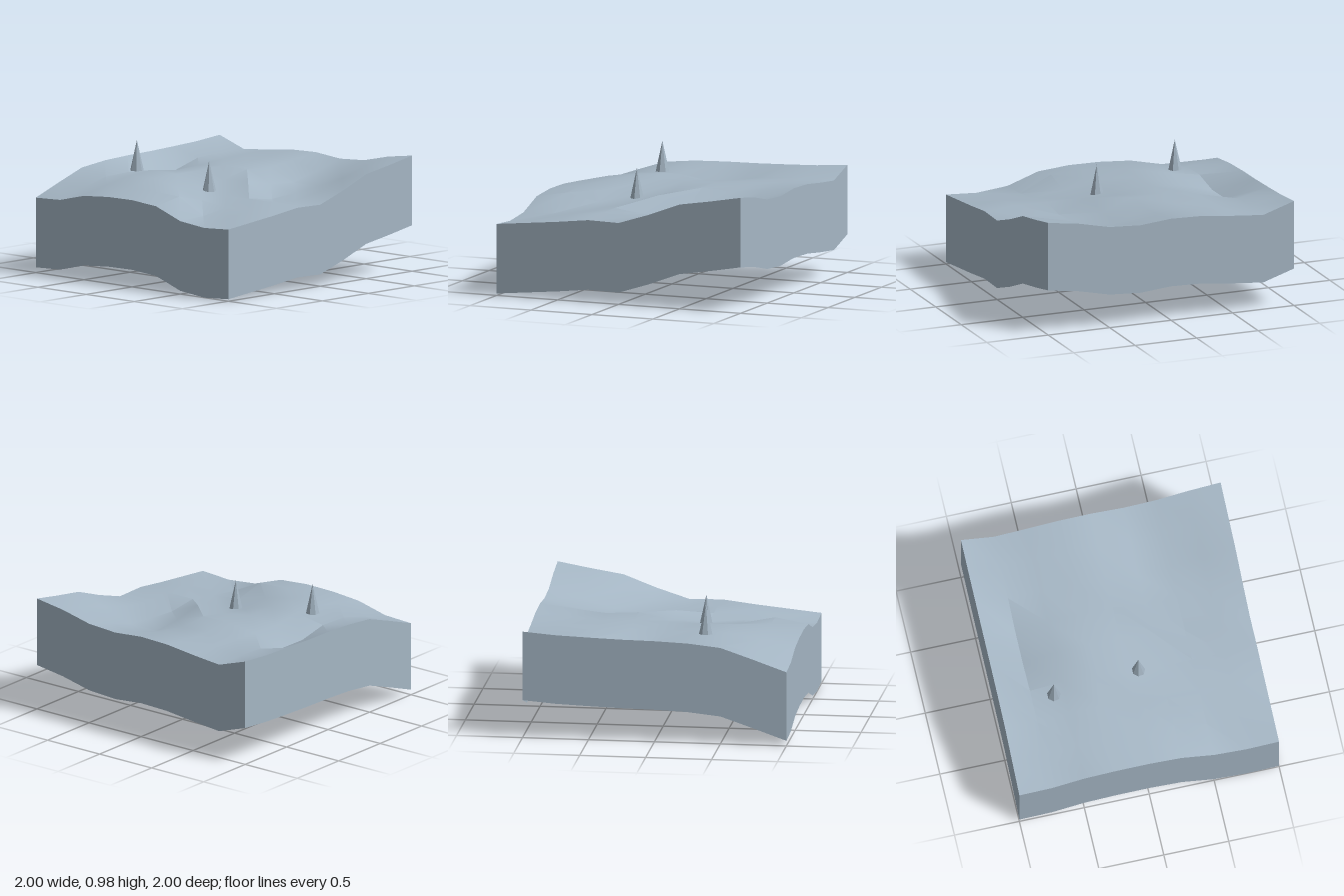
import * as THREE from 'three';
import { toCreasedNormals } from 'three/addons/utils/BufferGeometryUtils.js';

const N = 8;          // grid cells per side
const DEPTH = 0.53;   // drop of the side walls

// Ground heights, one row per z from back (-1) to front (+1), x from -1 to +1
const HEIGHTS = [
  [0.57, 0.658, 0.742, 0.768, 0.778, 0.782, 0.79, 0.80, 0.82],
  [0.58, 0.64, 0.70, 0.708, 0.658, 0.662, 0.73, 0.742, 0.74],
  [0.638, 0.695, 0.735, 0.75, 0.72, 0.728, 0.745, 0.757, 0.762],
  [0.657, 0.70, 0.742, 0.745, 0.745, 0.755, 0.748, 0.765, 0.79],
  [0.66, 0.697, 0.69, 0.67, 0.705, 0.752, 0.738, 0.765, 0.797],
  [0.64, 0.685, 0.63, 0.635, 0.715, 0.668, 0.65, 0.708, 0.775],
  [0.555, 0.565, 0.60, 0.64, 0.61, 0.625, 0.65, 0.725, 0.79],
  [0.53, 0.565, 0.615, 0.64, 0.625, 0.665, 0.735, 0.80, 0.845],
  [0.545, 0.57, 0.595, 0.625, 0.62, 0.70, 0.795, 0.835, 0.88],
];

const heightAt = (x, z) =>
  HEIGHTS[Math.round((z + 1) * N / 2)][Math.round((x + 1) * N / 2)];

// Rolling ground surface
function groundGeometry() {
  const geo = new THREE.PlaneGeometry(2, 2, N, N).rotateX(-Math.PI / 2);
  const pos = geo.attributes.position;
  for (let i = 0; i < pos.count; i++) {
    pos.setY(i, heightAt(pos.getX(i), pos.getZ(i)));
  }
  return toCreasedNormals(geo, 0.42);
}

// Wall hanging from one ground edge; place(t) maps t in -1..1 to [x, z]
function wallGeometry(place) {
  const geo = new THREE.PlaneGeometry(2, 1, N, 1);
  const pos = geo.attributes.position;
  for (let i = 0; i < pos.count; i++) {
    const [x, z] = place(pos.getX(i));
    const drop = pos.getY(i) > 0 ? 0 : DEPTH;
    pos.setXYZ(i, x, heightAt(x, z) - drop, z);
  }
  geo.computeVertexNormals();
  return geo;
}

export function createModel() {
  const group = new THREE.Group();
  group.name = 'terrainTile';
  const stone = new THREE.MeshStandardMaterial({ color: 0xa5b6c4, side: THREE.DoubleSide });
  stone.name = 'blueGreyStone';

  const add = (name, geo) => {
    const mesh = new THREE.Mesh(geo, stone);
    mesh.name = name;
    group.add(mesh);
    return mesh;
  };

  add('ground', groundGeometry());

  // Side walls, open underneath
  const walls = {
    frontWall: t => [t, 1],
    leftWall: t => [1, -t],
    backWall: t => [-t, -1],
    rightWall: t => [-1, t],
  };
  for (const [name, place] of Object.entries(walls)) add(name, wallGeometry(place));

  // Faceted spikes standing on the ground
  const spikes = [
    ['frontSpike', -0.25, 0.652, 0.085],
    ['backSpike', -0.335, 0.747, -0.585],
  ];
  for (const [name, x, y, z] of spikes) {
    const cone = new THREE.ConeGeometry(0.052, 0.232, 7).translate(0, 0.116, 0);
    add(name, toCreasedNormals(cone, 0.3)).position.set(x, y, z);
  }
  return group;
}
